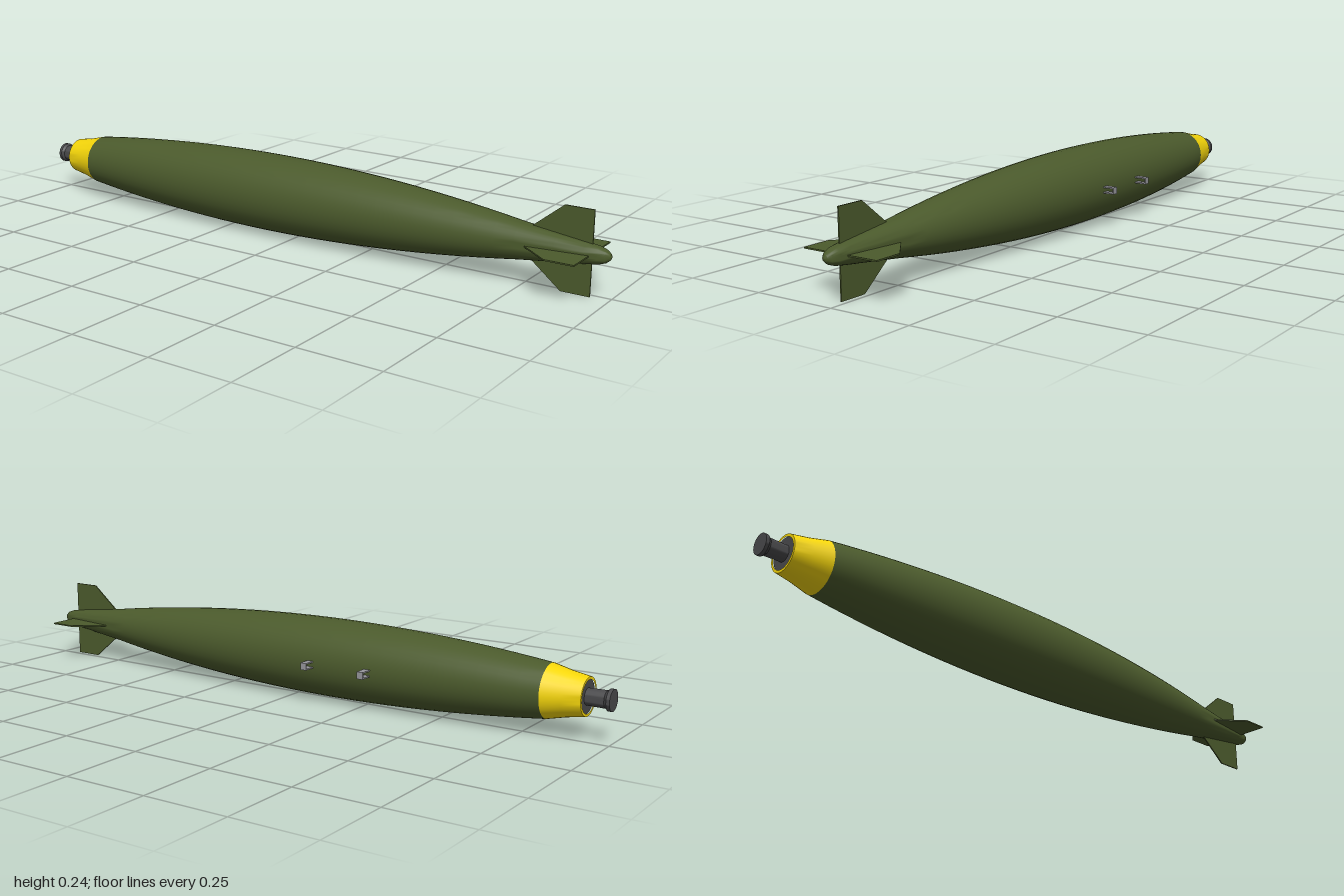
import * as THREE from 'three';
import { toCreasedNormals } from 'three/addons/utils/BufferGeometryUtils.js';

const AXIS_Y = 0.122, AXIS_Z = 0.017;

const paint = (color) => new THREE.MeshStandardMaterial({ color });
const green = paint(0x4b5a2c), yellow = paint(0xf5d60a), dark = paint(0x4a4a4c), steel = paint(0x96969c);

// Hull radius at a station along the length
const hullRadius = (x) => 0.119 - 0.0865 * (x + 0.13) ** 2;

// Turned part: [x, radius] pairs revolved about the long axis
function turned(name, profile, material) {
  const points = profile.map(([x, r]) => new THREE.Vector2(r, x));
  const geometry = toCreasedNormals(new THREE.LatheGeometry(points, 36), 0.6);
  geometry.rotateZ(-Math.PI / 2);
  const mesh = new THREE.Mesh(geometry, material);
  mesh.name = name;
  return mesh;
}

// Evenly spaced stations along the hull curve
function hullProfile(from, to, steps) {
  const profile = [];
  for (let i = 0; i <= steps; i++) {
    const x = from + ((to - from) * i) / steps;
    profile.push([x, hullRadius(x)]);
  }
  return profile;
}

export function createModel() {
  const model = new THREE.Group();
  model.name = 'finnedBody';
  const core = new THREE.Group();
  core.name = 'core';
  core.position.set(0, AXIS_Y, AXIS_Z);
  model.add(core);

  // Main hull with a tapered, rounded tail
  core.add(turned('hull', [
    ...hullProfile(-0.82, 0.74, 26),
    [0.85, 0.04], [0.93, 0.03], [0.965, 0.025], [0.985, 0.018], [0.996, 0.009], [1, 0],
  ], green));

  // Yellow nose band and its recessed front face
  core.add(turned('noseBand', [[-0.93, 0.047], [-0.93, 0.055], [-0.875, 0.0645], [-0.82, hullRadius(-0.82)]], yellow));
  core.add(turned('nosePlate', [[-0.927, 0], [-0.927, 0.048]], dark));

  // Nose plug: flanged head on a narrower neck
  core.add(turned('nosePlug', [
    [-1, 0], [-1, 0.031], [-0.99, 0.031], [-0.982, 0.025], [-0.925, 0.024],
  ], dark));

  // Four swept tail fins
  const finShape = new THREE.Shape([
    [0.765, 0.045], [0.86, 0.122], [0.945, 0.122], [0.945, 0.01], [0.765, 0.02],
  ].map(([x, y]) => new THREE.Vector2(x, y)));
  const finGeometry = new THREE.ExtrudeGeometry(finShape, { depth: 0.004, bevelEnabled: false });
  finGeometry.translate(0, 0, -0.002);
  for (let i = 0; i < 4; i++) {
    const fin = new THREE.Mesh(finGeometry, green);
    fin.name = 'tailFin' + (i + 1);
    fin.rotation.x = (i * Math.PI) / 2;
    core.add(fin);
  }

  // Two open rectangular lugs on the back
  const lugShape = new THREE.Shape([[0.1, -0.0105], [0.154, -0.0105], [0.154, 0.0105], [0.1, 0.0105]]
    .map(([x, y]) => new THREE.Vector2(x, y)));
  lugShape.holes.push(new THREE.Path([[0.104, -0.0065], [0.104, 0.0065], [0.15, 0.0065], [0.15, -0.0065]]
    .map(([x, y]) => new THREE.Vector2(x, y))));
  const lugGeometry = new THREE.ExtrudeGeometry(lugShape, { depth: 0.02, bevelEnabled: false });
  lugGeometry.translate(0, 0, -0.01).rotateY(Math.PI / 2);
  [-0.305, -0.11].forEach((x, i) => {
    const lug = new THREE.Mesh(lugGeometry, steel);
    lug.name = 'lug' + (i + 1);
    lug.position.x = x;
    core.add(lug);
  });

  return model;
}
